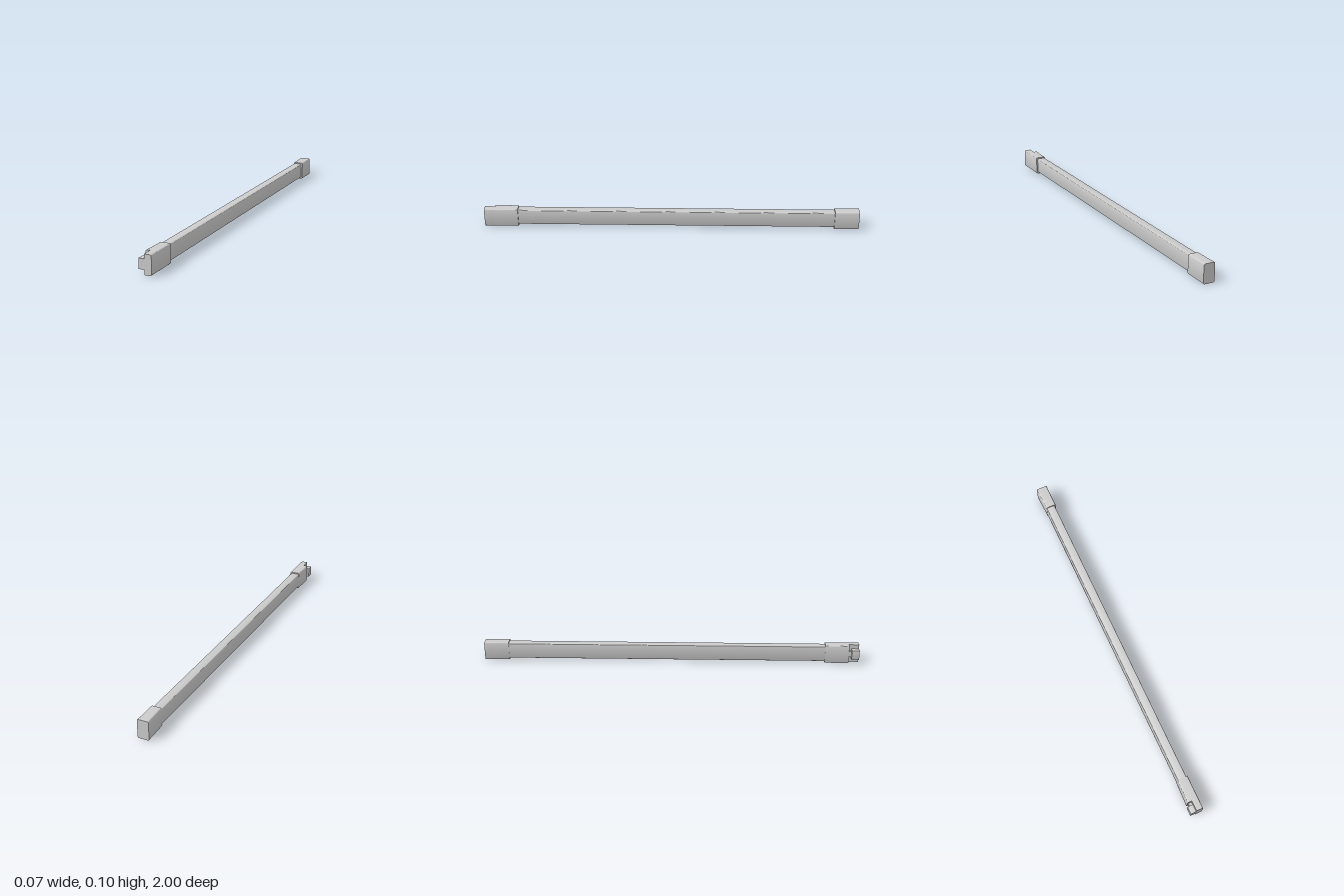
import * as THREE from 'three';
import { toCreasedNormals } from 'three/addons/utils/BufferGeometryUtils.js';

const material = new THREE.MeshStandardMaterial({ color: 0xcccccc });

// Rectangle in x/y with separate corner radii on its -x and +x sides
function section(x0, x1, y0, y1, rLeft, rRight) {
  const s = new THREE.Shape();
  s.moveTo(x0 + rLeft, y0);
  s.lineTo(x1 - rRight, y0);
  if (rRight) s.quadraticCurveTo(x1, y0, x1, y0 + rRight);
  s.lineTo(x1, y1 - rRight);
  if (rRight) s.quadraticCurveTo(x1, y1, x1 - rRight, y1);
  s.lineTo(x0 + rLeft, y1);
  if (rLeft) s.quadraticCurveTo(x0, y1, x0, y1 - rLeft);
  s.lineTo(x0, y0 + rLeft);
  if (rLeft) s.quadraticCurveTo(x0, y0, x0 + rLeft, y0);
  return s;
}

// Section run along z; the -x side can be drawn in by `taper` at the end zThin
function prism(name, shape, z0, z1, taper = 0, zThin = z0) {
  const g = new THREE.ExtrudeGeometry(shape, { depth: z1 - z0, bevelEnabled: false, curveSegments: 5 });
  g.translate(0, 0, z0);
  const p = g.attributes.position;
  for (let i = 0; i < p.count; i++) {
    if (taper && p.getX(i) < 0 && Math.abs(p.getZ(i) - zThin) < 1e-4) p.setX(i, p.getX(i) + taper);
  }
  const mesh = new THREE.Mesh(toCreasedNormals(g, 0.6), material);
  mesh.name = name;
  return mesh;
}

export function createModel() {
  const model = new THREE.Group();
  model.name = 'bar';

  // Long bar between the two end caps
  model.add(prism('rail', section(-0.022, 0.025, 0.01, 0.093, 0.006, 0.006), -0.95, 0.92));

  // Plain closed cap at the back
  model.add(prism('backCap', section(-0.028, 0.032, 0, 0.1, 0.008, 0.01), -1, -0.87, 0.005, -0.87));

  // Front cap: tapered sleeve, end plate on the +x side, latch on the -x side
  const frontCap = new THREE.Group();
  frontCap.name = 'frontCap';
  frontCap.add(
    prism('sleeve', section(-0.028, 0.032, 0, 0.1, 0.008, 0.01), 0.82, 0.945, 0.005, 0.82),
    prism('endPlate', section(-0.005, 0.032, 0, 0.1, 0, 0.01), 0.945, 1),
    prism('latchNeck', section(-0.022, -0.005, 0.036, 0.067, 0, 0), 0.945, 0.965),
    prism('latchHead', section(-0.034, -0.005, 0.025, 0.077, 0.001, 0), 0.96, 1),
  );
  model.add(frontCap);

  return model;
}
